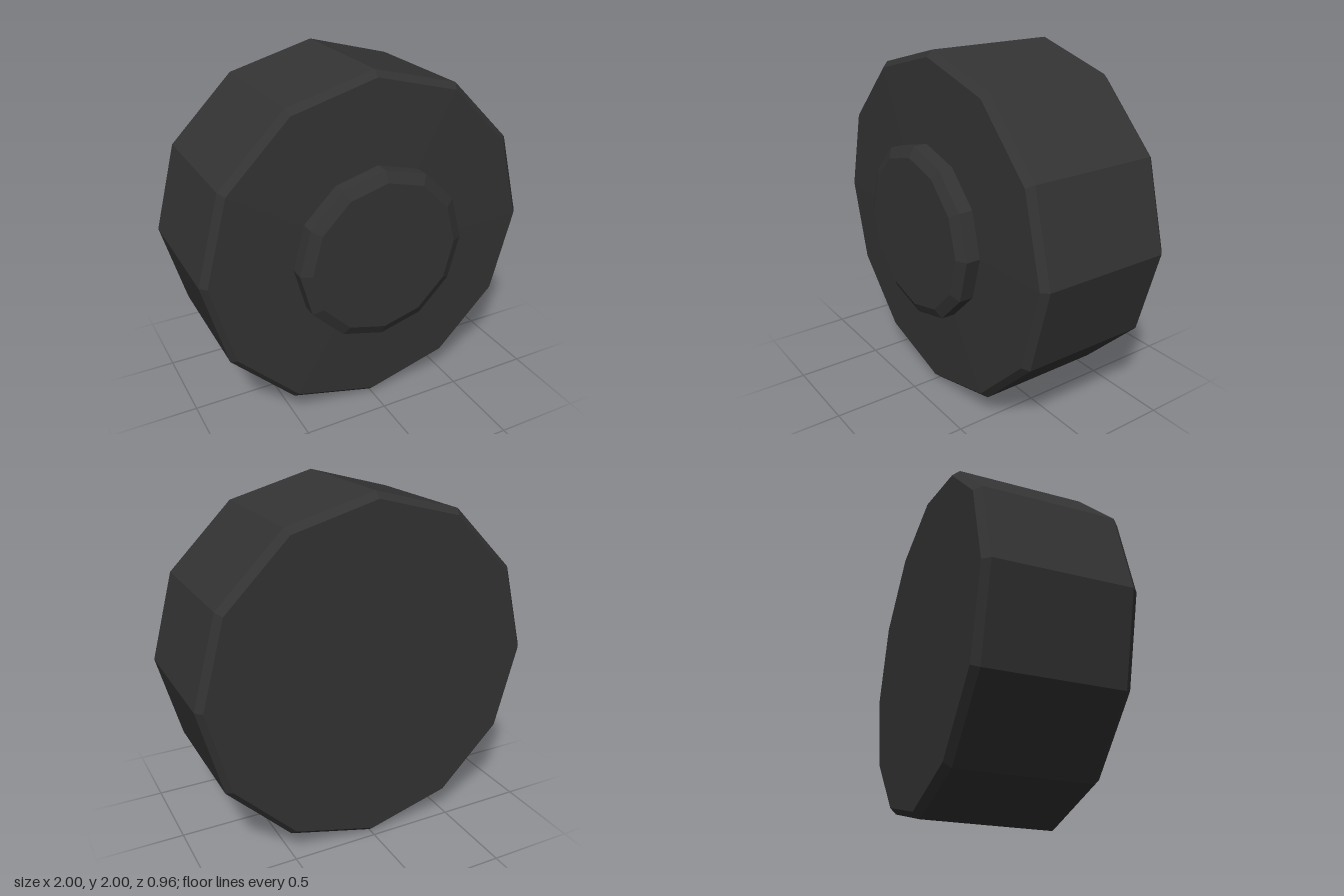
import * as THREE from 'three';

const SIDES = 12;
const material = new THREE.MeshStandardMaterial({ color: 0x333333, flatShading: true });

// Turned part: profile of [radius, z] from back to front, spun about the z axis
function turned(name, profile) {
  const points = profile.map(([r, z]) => new THREE.Vector2(r, z));
  const geometry = new THREE.LatheGeometry(points, SIDES).rotateX(Math.PI / 2);
  const mesh = new THREE.Mesh(geometry, material);
  mesh.name = name;
  mesh.position.y = 1;
  return mesh;
}

export function createModel() {
  const group = new THREE.Group();
  group.name = 'wheel';

  // Chamfered tyre with a slightly domed front face
  group.add(turned('tyre', [
    [0, -0.48], [0.965, -0.48], [1, -0.44],
    [1, 0.315], [0.965, 0.352], [0.5, 0.368], [0, 0.368],
  ]));

  // Raised hub with a bevelled rim
  group.add(turned('hub', [
    [0.5, 0.36], [0.5, 0.45], [0.44, 0.48], [0, 0.48],
  ]));

  return group;
}
